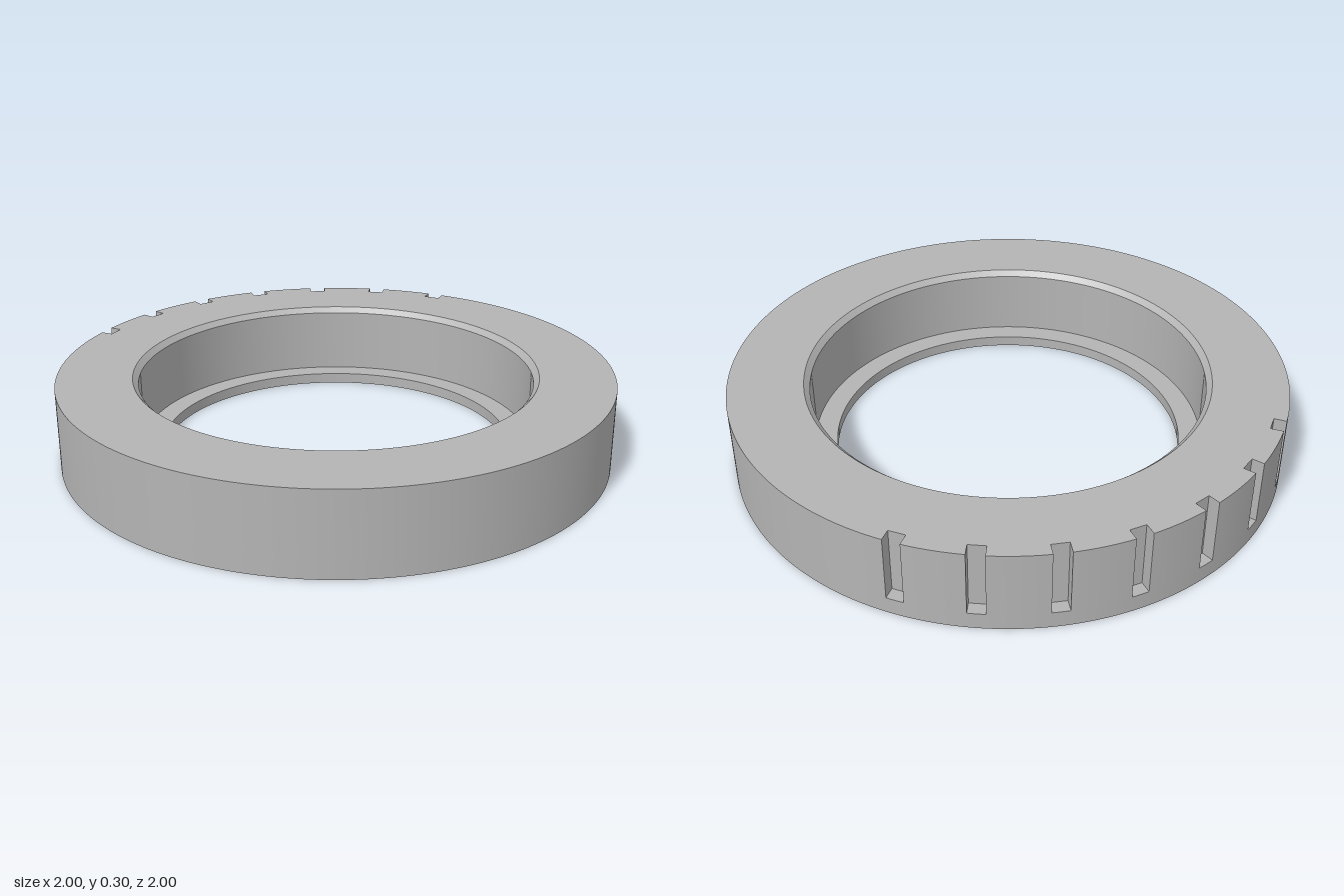
import * as THREE from 'three';
import { toCreasedNormals } from 'three/addons/utils/BufferGeometryUtils.js';

const OUTER = 1, HEIGHT = 0.3, SLOT_FLOOR = 0.06;
const MOUTH = 0.73, POCKET = 0.71, BORE = 0.63, LEDGE = 0.04;
const SLOT_DEPTH = 0.045, SLOT_HALF = 0.03;

export function createModel() {
  const group = new THREE.Group();
  group.name = 'notchedRing';
  const steel = new THREE.MeshStandardMaterial({ color: 0xb4b4b4 });
  steel.name = 'plain grey';

  const add = (name, geometry) => {
    const mesh = new THREE.Mesh(toCreasedNormals(geometry, Math.PI / 6), steel);
    mesh.name = name;
    group.add(mesh);
  };

  // Base, ledge, pocket wall and chamfered mouth, turned as one profile
  const profile = [
    [MOUTH, HEIGHT], [POCKET, HEIGHT - 0.02], [POCKET, LEDGE], [BORE, LEDGE],
    [BORE, 0], [OUTER, 0], [OUTER, SLOT_FLOOR], [OUTER - 0.06, SLOT_FLOOR],
  ].map(([r, y]) => new THREE.Vector2(r, y));
  add('baseAndBore', new THREE.LatheGeometry(profile, 360));

  // Upper rim outline with seven slots, 15 degrees apart around the back
  const outline = [];
  const edge = Math.sqrt(OUTER ** 2 - SLOT_HALF ** 2);
  for (let deg = 0; deg < 360; deg++) {
    const a = THREE.MathUtils.degToRad(deg);
    const fromBack = deg - 90;
    const nearest = Math.round(fromBack / 15) * 15;
    const inSlotZone = Math.abs(nearest) <= 45;
    if (inSlotZone && fromBack === nearest) {
      const inner = OUTER - SLOT_DEPTH;
      for (const [r, t] of [[edge, -SLOT_HALF], [inner, -SLOT_HALF], [inner, SLOT_HALF], [edge, SLOT_HALF]]) {
        outline.push(new THREE.Vector2(
          r * Math.cos(a) - t * Math.sin(a),
          r * Math.sin(a) + t * Math.cos(a)));
      }
    } else if (!inSlotZone || Math.abs(fromBack - nearest) > 1) {
      outline.push(new THREE.Vector2(OUTER * Math.cos(a), OUTER * Math.sin(a)));
    }
  }
  const shape = new THREE.Shape(outline);
  shape.holes.push(new THREE.Path().absarc(0, 0, MOUTH, 0, Math.PI * 2, true));
  const rim = new THREE.ExtrudeGeometry(shape, {
    depth: HEIGHT - SLOT_FLOOR, bevelEnabled: false, curveSegments: 180,
  });
  rim.rotateX(-Math.PI / 2);
  rim.translate(0, SLOT_FLOOR, 0);
  add('slottedRim', rim);

  return group;
}
